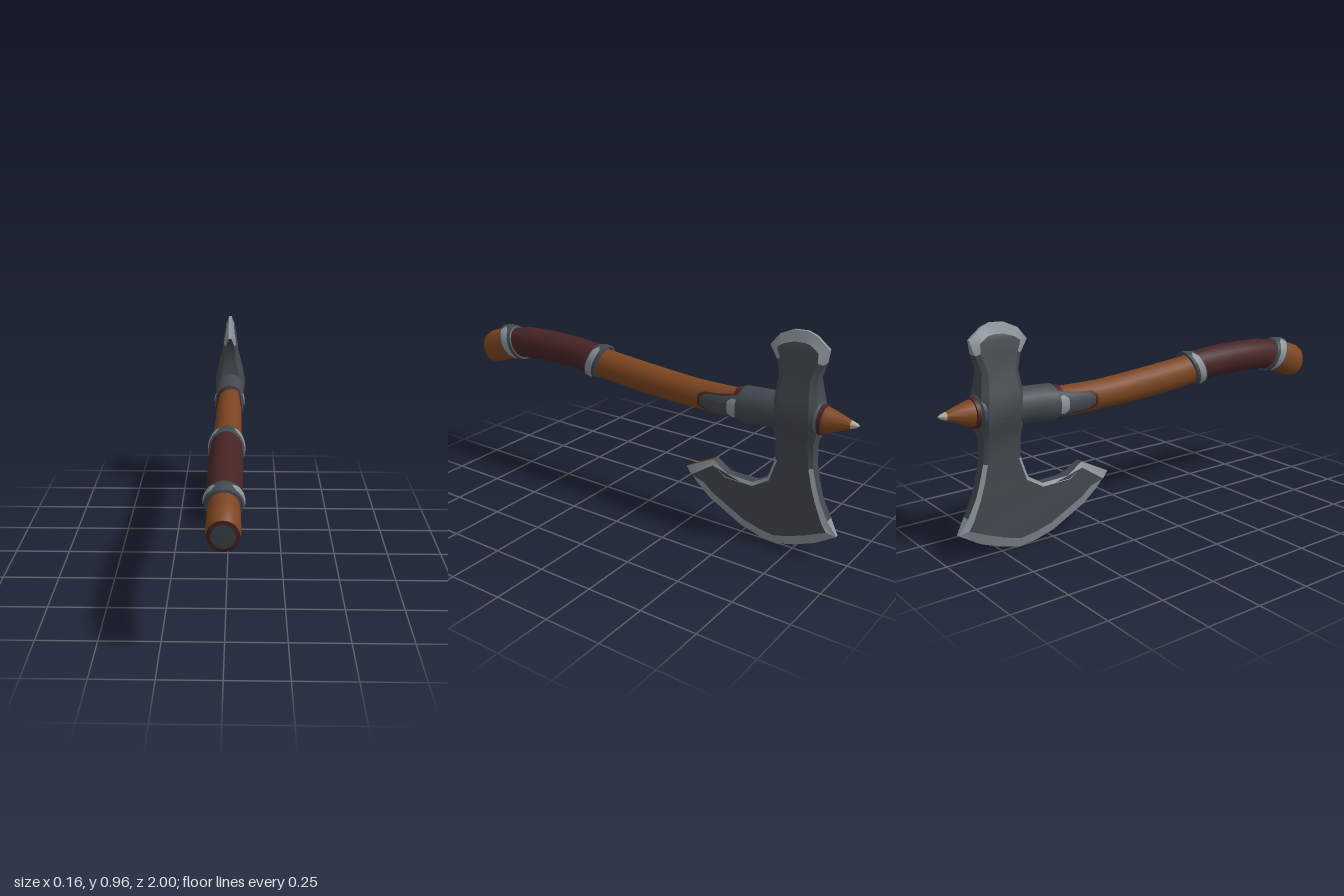
import * as THREE from 'three';
import { toCreasedNormals } from 'three/addons/utils/BufferGeometryUtils.js';

const mat = (name, color) => Object.assign(new THREE.MeshStandardMaterial({ color }), { name });

export function createModel() {
  const wood = mat('wood', 0x7c4520);
  const leather = mat('dark leather', 0x472424);
  const iron = mat('dark iron', 0x42494f);
  const steel = mat('worn steel', 0x8a939a);
  const pale = mat('pale tip', 0xb3a596);

  const model = new THREE.Group();
  model.name = 'axe';

  const add = (parent, name, material, positions, index) => {
    const g = new THREE.BufferGeometry();
    g.setAttribute('position', new THREE.Float32BufferAttribute(positions, 3));
    g.setIndex(index);
    const mesh = new THREE.Mesh(toCreasedNormals(g, 0.65), material);
    mesh.name = name;
    parent.add(mesh);
  };

  // Elliptical sections from front to back: [z, y, rx, ry, half angle of arc].
  // Shear leans each section; mid is the angle at the centre of an open arc.
  const sweep = (name, material, stations, shear = 0, mid = 0) => {
    const n = 20, pos = [], idx = [];
    stations.forEach(([z, y, rx, ry, half = Math.PI], i) => {
      for (let j = 0; j <= n; j++) {
        const a = mid + half * (2 * j / n - 1);
        const dy = Math.sin(a) * ry;
        pos.push(Math.cos(a) * rx, y + dy, z + shear * dy);
        if (i < stations.length - 1 && j < n) {
          const p = i * (n + 1) + j, q = p + n + 1;
          idx.push(p, q, p + 1, p + 1, q, q + 1);
        }
      }
    });
    add(model, name, material, pos, idx);
  };

  // Butt of the handle
  sweep('buttCap', iron, [[0.983, 0.577, 0, 0], [0.981, 0.577, 0.045, 0.053]], 0.27);
  sweep('buttCapRim', leather, [[0.981, 0.577, 0.045, 0.053], [0.978, 0.578, 0.06, 0.07]], 0.27);
  sweep('handleButt', wood, [[0.978, 0.578, 0.06, 0.07], [0.95, 0.59, 0.064, 0.077],
    [0.9, 0.607, 0.061, 0.077], [0.82, 0.63, 0.06, 0.074]], 0.27);

  // Grip and wooden shaft follow one gentle bend
  sweep('grip', leather, [[0.81, 0.635, 0.064, 0.073], [0.72, 0.65, 0.068, 0.074], [0.6, 0.656, 0.069, 0.073],
    [0.5, 0.655, 0.069, 0.073], [0.4, 0.652, 0.068, 0.073], [0.28, 0.642, 0.066, 0.072]]);
  sweep('shaft', wood, [[0.3, 0.64, 0.062, 0.07], [0.2, 0.626, 0.062, 0.07], [0.1, 0.617, 0.062, 0.07],
    [0, 0.609, 0.061, 0.069], [-0.12, 0.601, 0.061, 0.067], [-0.25, 0.595, 0.06, 0.064],
    [-0.4, 0.593, 0.06, 0.066], [-0.6, 0.6, 0.06, 0.066]]);

  // Leaning collars at both ends of the grip, with worn steel on their sides
  const collar = (name, z, y, w, shear) => {
    sweep(name, iron, [[z + w, y - 0.003, 0.058, 0.068], [z + w * 0.9, y - 0.002, 0.07, 0.077], [z, y, 0.075, 0.081],
      [z - w * 0.9, y, 0.071, 0.079], [z - w, y, 0.058, 0.068]], shear);
    for (const mid of [0, Math.PI])
      sweep(name + 'Wear', steel, [[z + w * 0.6, y, 0.074, 0.081, 0.9], [z, y, 0.078, 0.084, 1.2],
        [z - w * 0.5, y, 0.0755, 0.083, 0.9]], shear, mid);
  };
  collar('rearCollar', 0.815, 0.637, 0.04, 0.4);
  collar('frontCollar', 0.285, 0.64, 0.034, -0.35);

  // Socket with side tongues
  sweep('socketLining', leather, [[-0.455, 0.596, 0.058, 0.064], [-0.46, 0.596, 0.067, 0.073], [-0.52, 0.598, 0.068, 0.074]]);
  sweep('socket', iron, [[-0.485, 0.598, 0.06, 0.066], [-0.49, 0.598, 0.073, 0.08], [-0.53, 0.601, 0.072, 0.08],
    [-0.6, 0.607, 0.07, 0.077], [-0.72, 0.61, 0.073, 0.078], [-0.835, 0.612, 0.073, 0.07], [-0.85, 0.612, 0.05, 0.055]]);
  for (const mid of [0, Math.PI]) {
    sweep('tongueBorder', leather, [[-0.295, 0.594, 0.063, 0.068, 0.35], [-0.32, 0.594, 0.064, 0.069, 0.6],
      [-0.4, 0.593, 0.065, 0.07, 0.7], [-0.49, 0.597, 0.067, 0.072, 0.95]], 0, mid);
    sweep('tongue', iron, [[-0.31, 0.594, 0.067, 0.071, 0.25], [-0.34, 0.594, 0.069, 0.072, 0.5],
      [-0.42, 0.593, 0.07, 0.073, 0.6], [-0.5, 0.598, 0.073, 0.078, 0.85]], 0, mid);
    sweep('tongueWear', steel, [[-0.445, 0.595, 0.073, 0.075, 0.35], [-0.465, 0.596, 0.075, 0.078, 0.55],
      [-0.485, 0.597, 0.075, 0.08, 0.5]], 0, mid);
  }

  // Wooden spike behind the head
  sweep('spikeRing', leather, [[-0.84, 0.612, 0.062, 0.064], [-0.858, 0.612, 0.061, 0.062], [-0.86, 0.612, 0.05, 0.05]]);
  sweep('spike', wood, [[-0.84, 0.612, 0.058, 0.06], [-0.88, 0.613, 0.049, 0.05], [-0.965, 0.618, 0.017, 0.018]]);
  sweep('spikeTip', pale, [[-0.965, 0.618, 0.017, 0.018], [-0.99, 0.619, 0.008, 0.009], [-1, 0.62, 0, 0]]);

  // Axe head, rows from poll to cutting edge:
  // [front z, y, bevel width, back z, y, bevel width, half thickness]
  const rows = [
    [-0.70, 0.957, 0.045, -0.76, 0.96, 0.045, 0.019],
    [-0.64, 0.93, 0.04, -0.80, 0.945, 0.04, 0.022],
    [-0.60, 0.88, 0.04, -0.855, 0.90, 0.04, 0.026],
    [-0.64, 0.83, 0.02, -0.84, 0.84, 0.02, 0.032],
    [-0.657, 0.765, 0.02, -0.818, 0.775, 0.02, 0.041],
    [-0.65, 0.70, 0.025, -0.83, 0.70, 0.025, 0.06],
    [-0.645, 0.62, 0.025, -0.845, 0.62, 0.025, 0.076],
    [-0.65, 0.55, 0.025, -0.84, 0.55, 0.025, 0.062],
    [-0.657, 0.49, 0.02, -0.823, 0.50, 0.02, 0.039],
    [-0.657, 0.40, 0.014, -0.828, 0.40, 0.016, 0.032],
    [-0.625, 0.305, 0.014, -0.848, 0.32, 0.018, 0.03],
    [-0.555, 0.262, 0.014, -0.866, 0.262, 0.018, 0.029],
    [-0.43, 0.267, 0.016, -0.905, 0.185, 0.025, 0.028],
    [-0.357, 0.315, 0.025, -0.945, 0.12, 0.042, 0.027],
    [-0.212, 0.24, 0.045, -0.85, 0.06, 0.045, 0.026],
    [-0.27, 0.175, 0.045, -0.76, 0.024, 0.045, 0.025],
    [-0.34, 0.118, 0.045, -0.673, 0, 0.045, 0.024],
    [-0.50, 0.035, 0.045, -0.59, 0.01, 0.045, 0.023],
  ];
  const head = new THREE.Group();
  head.name = 'axeHead';
  model.add(head);
  const n = rows.length, m = 2 * n;
  const ring = [...rows.map(r => [r[0], r[1], r[2], r[6]]),
    ...rows.map(r => [r[3], r[4], r[5], r[6]]).reverse()];

  // Four loops of vertices: outer and inner outline on each cheek
  const pos = [];
  for (const side of [1, -1]) {
    for (const [z, y, w, t] of ring) pos.push(side * (w >= 0.04 ? 0.007 : t * 0.68), y, z);
    ring.forEach(([z, y, w, t], k) => {
      const a = ring[(k + m - 1) % m], b = ring[(k + 1) % m];
      const dz = b[0] - a[0], dy = b[1] - a[1], len = Math.hypot(dz, dy);
      pos.push(side * t, y - w * dz / len, z + w * dy / len);
    });
  }
  const faces = { cheek: [], edge: [], neckEdge: [], rim: [], sharpRim: [], hornEnd: [] };
  const quad = (list, a, b, c, d, flip) =>
    list.push(...(flip ? [a, c, b, a, d, c] : [a, b, c, a, c, d]));
  for (const s of [0, 1]) {
    const o = s * 2 * m, inner = o + m;
    for (let i = 0; i < n - 1; i++)
      quad(faces.cheek, inner + i, inner + i + 1, inner + m - 2 - i, inner + m - 1 - i, s);
    for (let k = 0; k < m; k++) {
      const k2 = (k + 1) % m, y = (ring[k][1] + ring[k2][1]) / 2;
      const list = y > 0.84 || y < 0.42 ? faces.edge : faces.neckEdge;
      quad(list, o + k, o + k2, inner + k2, inner + k, s);
    }
  }
  for (let k = 0; k < m; k++) {
    const k2 = (k + 1) % m, y = (ring[k][1] + ring[k2][1]) / 2;
    const list = k === 13 ? faces.hornEnd : y > 0.86 || y < 0.16 ? faces.sharpRim : faces.rim;
    quad(list, k, 2 * m + k, 2 * m + k2, k2, false);
  }
  add(head, 'cheeks', iron, pos, faces.cheek);
  add(head, 'bevelledEdges', steel, pos, faces.edge);
  add(head, 'neckBevels', iron, pos, faces.neckEdge);
  add(head, 'neckRim', iron, pos, faces.rim);
  add(head, 'cuttingRim', steel, pos, faces.sharpRim);
  add(head, 'rustyHornEnd', wood, pos, faces.hornEnd);

  return model;
}
